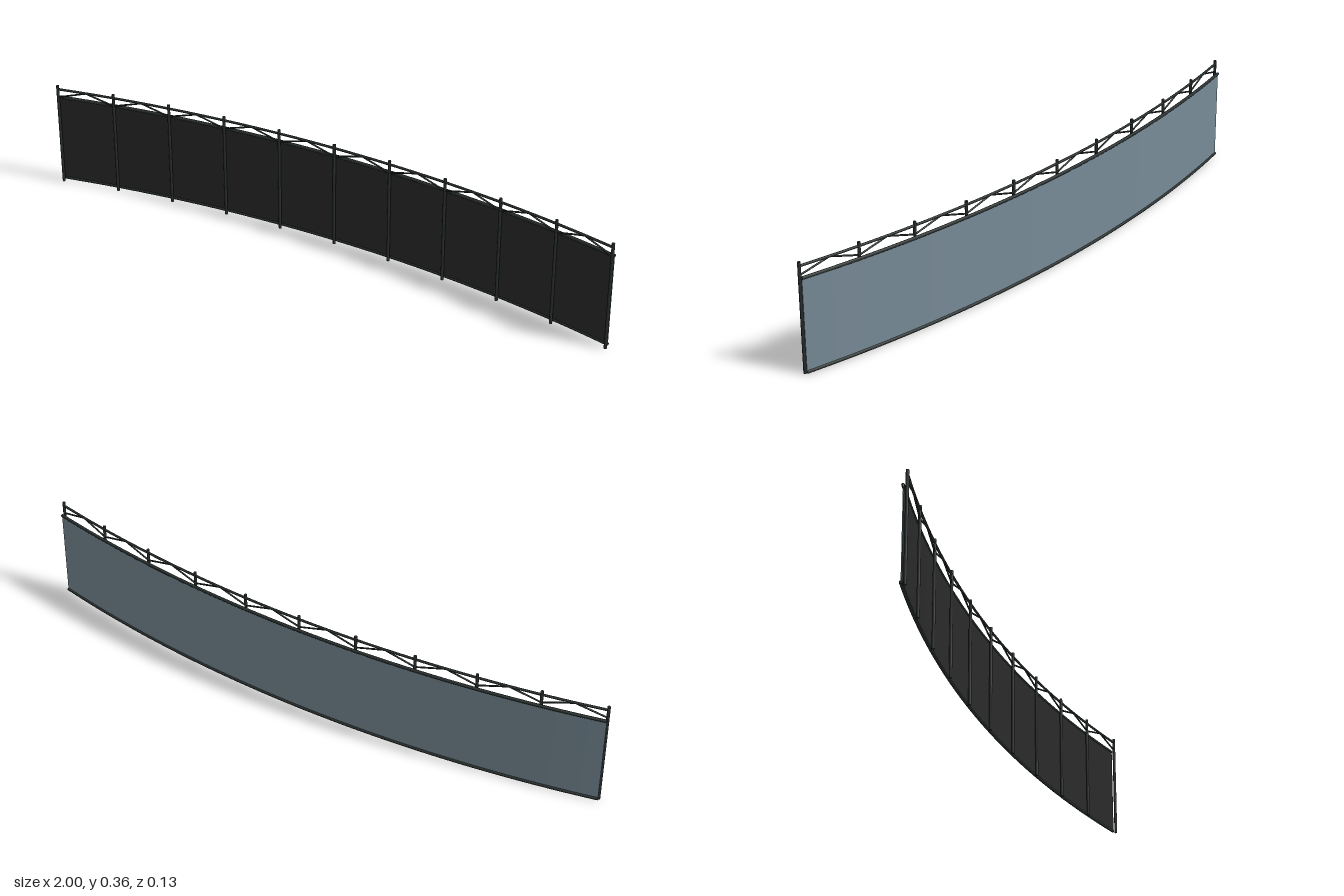
import * as THREE from 'three';

const R = 4.495;          // radius of the post line
const CZ = R - 0.049;     // centre of the arc on z
const A = 0.2232;         // half angle of the arc
const BAYS = 10;

// point on the arc: angle, height, radial offset outwards (towards the back)
function at(a, y, off = 0) {
  return new THREE.Vector3((R + off) * Math.sin(a), y, CZ - (R + off) * Math.cos(a));
}

function material(name, color) {
  const m = new THREE.MeshStandardMaterial({ color });
  m.name = name;
  return m;
}

export function createModel() {
  const model = new THREE.Group();
  model.name = 'curvedScreen';
  const steel = material('dark steel', 0x29302f);
  const black = material('matt black', 0x2a2a2a);
  const blue = material('blue grey', 0x788b97);

  function add(name, geometry, mat) {
    const mesh = new THREE.Mesh(geometry, mat);
    mesh.name = name;
    model.add(mesh);
    return mesh;
  }

  // straight round bar between two points
  function bar(name, p, q, r) {
    const d = q.clone().sub(p);
    const mesh = add(name, new THREE.CylinderGeometry(r, r, d.length(), 10), steel);
    mesh.position.copy(p).add(q).multiplyScalar(0.5);
    mesh.quaternion.setFromUnitVectors(new THREE.Vector3(0, 1, 0), d.normalize());
  }

  // curved tube following the arc
  function rail(name, y, off, r) {
    const pts = [];
    for (let i = 0; i <= 20; i++) pts.push(at(-A + (2 * A * i) / 20, y, off));
    const curve = new THREE.CatmullRomCurve3(pts);
    add(name, new THREE.TubeGeometry(curve, 80, r, 10), steel);
    // end caps
    for (const s of [-1, 1]) {
      const cap = add(name + 'Cap', new THREE.CircleGeometry(r, 10), steel);
      cap.position.copy(at(s * A, y, off));
      cap.rotation.y = s * Math.PI / 2 - s * A;
    }
  }

  // screen panel: a flat box bent along the arc, black in front, blue behind
  const panel = new THREE.BoxGeometry(2 * A, 0.309, 0.003, 80, 1, 1);
  const pos = panel.attributes.position;
  for (let i = 0; i < pos.count; i++) {
    const p = at(pos.getX(i), pos.getY(i) + 0.1585, 0.0105 - pos.getZ(i));
    pos.setXYZ(i, p.x, p.y, p.z);
  }
  panel.computeVertexNormals();
  add('screenPanel', panel, [blue, blue, blue, blue, black, blue]);

  // edge rails and truss top chord
  rail('bottomRail', 0.0085, 0.0115, 0.0052);
  rail('topRail', 0.3095, 0.0115, 0.0052);
  rail('topChord', 0.343, 0, 0.004);

  // posts and truss diagonals
  const step = (2 * A) / BAYS;
  for (let i = 0; i <= BAYS; i++) {
    const a = -A + i * step;
    bar('post', at(a, 0), at(a, 0.356), 0.005);
    if (i === BAYS) break;
    const peak = at(a + step / 2, 0.342);
    bar('diagonal', at(a, 0.314), peak, 0.0028);
    bar('diagonal', peak, at(a + step, 0.314), 0.0028);
  }
  return model;
}
